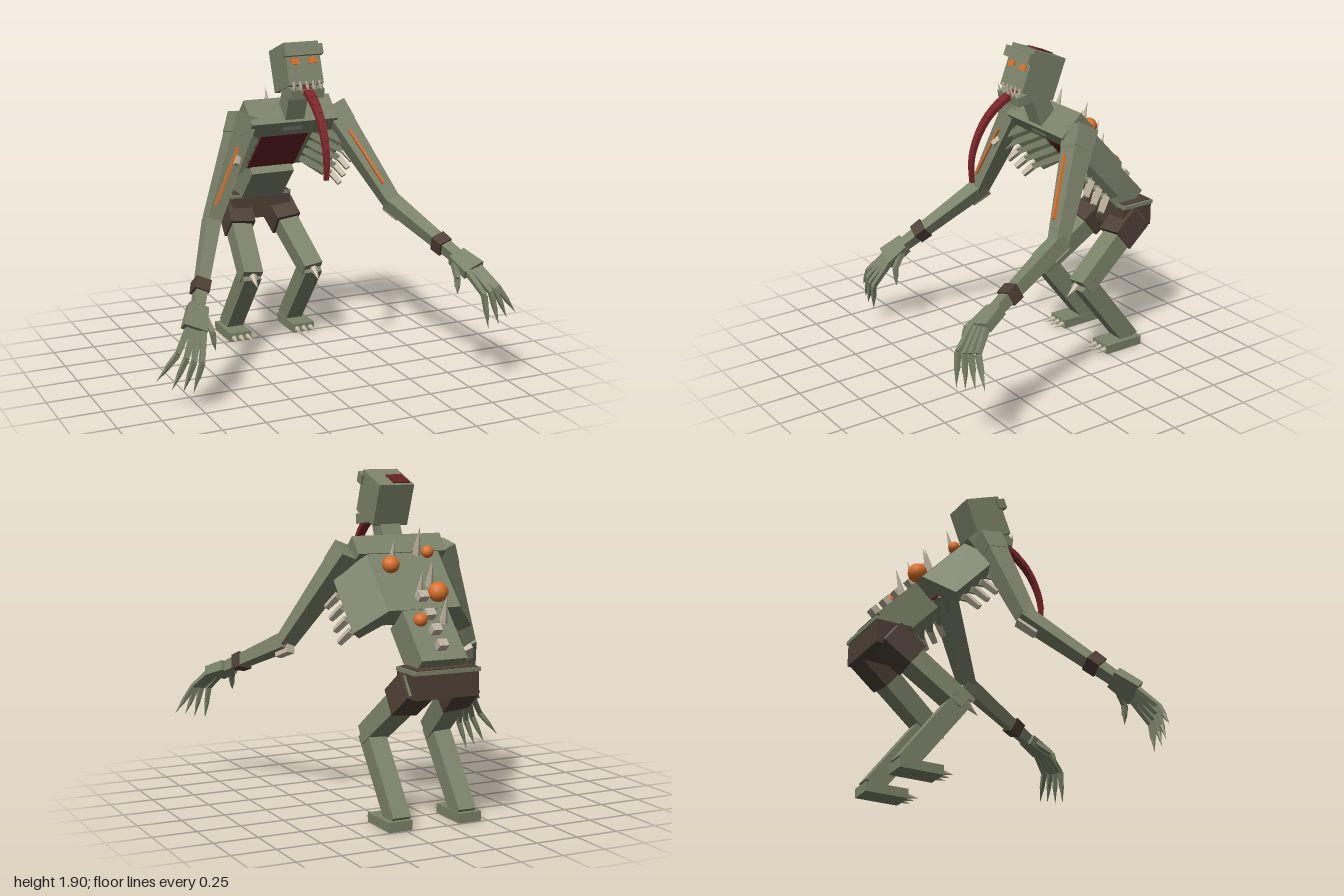
import * as THREE from 'three';

const material = (name, color) => {
  const m = new THREE.MeshStandardMaterial({ color });
  m.name = name;
  return m;
};
const skin = material('grey green skin', 0x7c836a);
const cloth = material('brown cloth', 0x4e4036);
const flesh = material('dark red flesh', 0x642022);
const tongueRed = material('tongue red', 0x7c2529);
const glow = material('orange glow', 0xd8702a);
const bone = material('pale bone', 0xbfb5a0);

const UP = new THREE.Vector3(0, 1, 0);
const V = (p) => new THREE.Vector3(...p);

function add(parent, name, geometry, mat, pos = [0, 0, 0], rotX = 0) {
  const mesh = new THREE.Mesh(geometry, mat);
  mesh.name = name;
  mesh.position.set(...pos);
  mesh.rotation.x = rotX;
  parent.add(mesh);
  return mesh;
}
const box = (parent, name, mat, size, pos, rotX) =>
  add(parent, name, new THREE.BoxGeometry(...size), mat, pos, rotX);

function group(parent, name, pos = [0, 0, 0], rotX = 0) {
  const g = new THREE.Group();
  g.name = name;
  g.position.set(...pos);
  g.rotation.x = rotX;
  parent.add(g);
  return g;
}

// Tapered box from the upper point a to the lower point b; widths are [x, z]
function limb(parent, name, mat, a, b, wa, wb) {
  const dir = V(a).sub(V(b));
  const g = new THREE.BoxGeometry(1, dir.length(), 1);
  const p = g.attributes.position;
  for (let i = 0; i < p.count; i++) {
    const w = p.getY(i) > 0 ? wa : wb;
    p.setX(i, p.getX(i) * w[0]);
    p.setZ(i, p.getZ(i) * w[1]);
  }
  g.computeVertexNormals();
  const mesh = add(parent, name, g, mat, V(a).add(V(b)).multiplyScalar(0.5).toArray());
  mesh.quaternion.setFromUnitVectors(UP, dir.normalize());
  return mesh;
}

// Faceted cone from base to tip
function spike(parent, name, mat, base, tip, r, sides = 6) {
  const dir = V(tip).sub(V(base));
  const g = new THREE.ConeGeometry(r, dir.length(), sides).toNonIndexed();
  g.computeVertexNormals();
  const mesh = add(parent, name, g, mat, V(base).add(V(tip)).multiplyScalar(0.5).toArray());
  mesh.quaternion.setFromUnitVectors(UP, dir.normalize());
  return mesh;
}

function buildHead(body) {
  const head = group(body, 'head', [0, 1.752, -0.13], -0.36);
  box(head, 'skull', skin, [0.212, 0.245, 0.225], [0, 0, 0]);
  box(head, 'brow', skin, [0.235, 0.06, 0.055], [0, 0.07, 0.115]);
  box(head, 'headWound', flesh, [0.1, 0.008, 0.11], [-0.04, 0.125, -0.035]);
  box(head, 'headSore', glow, [0.02, 0.008, 0.02], [0.068, 0.104, 0.1]);
  for (const s of [-1, 1]) box(head, 'eye', glow, [0.05, 0.034, 0.02], [s * 0.055, 0.012, 0.112]);
  const jaw = group(body, 'jaw', [0, 1.635, -0.045], 0.14);
  box(jaw, 'jawBone', skin, [0.2, 0.055, 0.165], [0, 0, 0]);
  for (let i = -2; i <= 2; i++) {
    spike(head, 'upperTooth', bone, [i * 0.04, -0.105, 0.108], [i * 0.04, -0.165, 0.113], 0.01, 5);
    spike(jaw, 'lowerTooth', bone, [i * 0.042, 0.02, 0.075], [i * 0.042, 0.075, 0.085], 0.01, 5);
  }
  limb(body, 'neck', skin, [0, 1.63, -0.13], [0, 1.4, -0.23], [0.12, 0.1], [0.12, 0.12]);
  // Long tongue hanging in an arc
  const path = new THREE.CatmullRomCurve3([
    [0, 1.65, -0.06], [0, 1.645, 0.01], [0, 1.606, 0.095], [0, 1.525, 0.187],
    [0, 1.42, 0.25], [0, 1.308, 0.283], [0, 1.18, 0.28]].map(V));
  const n = 12;
  for (let i = 0; i < n; i++) {
    const w = (t) => [0.062 - 0.036 * t, 0.032 - 0.012 * t];
    limb(body, 'tongue', tongueRed, path.getPointAt(i / n).toArray(),
      path.getPointAt((i + 1) / n).toArray(), w(i / n), w((i + 1) / n));
  }
}

function buildTorso(body) {
  // Local y runs up the spine, local z points to the belly
  const torso = group(body, 'torso', [0, 1.18, -0.61], 0.75);
  box(torso, 'chest', skin, [0.434, 0.395, 0.13], [0, 0.1975, 0.065]);
  box(torso, 'openChest', flesh, [0.3, 0.39, 0.008], [0, 0.1975, 0.133]);
  box(torso, 'shoulderGirdle', skin, [0.54, 0.125, 0.18], [0, 0.445, 0.085]);
  box(torso, 'abdomen', skin, [0.272, 0.34, 0.185], [0, -0.16, 0.095]);

  for (const s of [-1, 1]) {
    // Slanted flank
    const pts = [[0.215, 0], [0.363, 0.19], [0.31, 0.24], [0.18, 0.1]];
    const shape = new THREE.Shape(pts.map(([x, d]) => new THREE.Vector2(s * x, -d)));
    const g = new THREE.ExtrudeGeometry(shape, { depth: 0.395, bevelEnabled: false });
    g.rotateX(-Math.PI / 2);
    add(torso, 'flank', g, skin);
    // Ribs with bare ends
    for (let i = 0; i < 5; i++) {
      const y = 0.045 + i * 0.08;
      limb(torso, 'rib', skin, [s * 0.18, y + 0.012, 0.13], [s * 0.345, y + 0.005, 0.26],
        [0.035, 0.035], [0.035, 0.035]);
      limb(torso, 'ribEnd', bone, [s * 0.34, y + 0.006, 0.24], [s * 0.38, y, 0.335],
        [0.036, 0.036], [0.028, 0.028]);
    }
  }
  // Vertebrae, boils and spikes along the back
  for (const y of [-0.25, -0.15, -0.05, 0.07])
    box(torso, 'vertebra', bone, [0.055, 0.045, 0.06], [0, y, -0.015]);
  for (const [x, y, z, r] of [[0.119, 0.284, -0.03, 0.048], [-0.095, 0.081, -0.035, 0.056],
    [0.06, -0.077, -0.012, 0.038], [-0.138, 0.368, -0.018, 0.035]])
    add(torso, 'boil', new THREE.SphereGeometry(r, 14, 10), glow, [x, y, z]);
  for (const [x, y] of [[-0.08, 0.37], [0.1, 0.3], [-0.08, 0.15], [0.01, 0.075], [-0.08, -0.09]])
    spike(torso, 'backSpike', bone, [x, y, 0.01], [x, y + 0.085, -0.13], 0.025);
}

function buildLegs(body) {
  box(body, 'pelvis', cloth, [0.38, 0.135, 0.21], [0, 0.802, -0.755]);
  box(body, 'waistBand', skin, [0.395, 0.022, 0.215], [0, 0.878, -0.76]);
  box(body, 'waistCloth', cloth, [0.365, 0.006, 0.195], [0, 0.891, -0.76]);
  for (const s of [-1, 1]) {
    const leg = group(body, s > 0 ? 'leftLeg' : 'rightLeg');
    const hip = [s * 0.135, 0.8, -0.78], knee = [s * 0.2, 0.46, -0.34];
    limb(leg, 'thigh', skin, hip, knee, [0.13, 0.125], [0.12, 0.11]);
    limb(leg, 'trouserLeg', cloth, [s * 0.135, 0.8, -0.77], [s * 0.155, 0.685, -0.622],
      [0.16, 0.16], [0.155, 0.155]);
    limb(leg, 'shin', skin, [s * 0.2, 0.485, -0.355], [s * 0.2, 0.05, -0.69],
      [0.108, 0.115], [0.105, 0.11]);
    spike(leg, 'kneeSpike', bone, [s * 0.2, 0.475, -0.315], [s * 0.2, 0.42, -0.24], 0.025);
    box(leg, 'foot', skin, [0.14, 0.055, 0.255], [s * 0.212, 0.038, -0.613]);
    for (let i = -1; i <= 1; i++)
      spike(leg, 'toeClaw', bone, [s * 0.212 + i * 0.045, 0.035, -0.49],
        [s * 0.212 + i * 0.05, 0.028, -0.415], 0.018);
  }
}

function buildArm(model, name, { shoulder, elbow, cuff, palm, bases, mids, tips, stripe }) {
  const arm = group(model, name);
  const mix = (a, b, t) => V(a).lerp(V(b), t).toArray();
  limb(arm, 'upperArm', skin, shoulder, elbow, [0.13, 0.13], [0.085, 0.085]);
  limb(arm, 'shoulder', skin, mix(shoulder, elbow, -0.09), mix(shoulder, elbow, 0.12),
    [0.14, 0.14], [0.13, 0.13]);
  limb(arm, 'forearm', skin, mix(elbow, cuff, -0.06), mix(elbow, palm, 0.9), [0.09, 0.09], [0.062, 0.062]);
  limb(arm, 'wristWrap', cloth, mix(cuff, elbow, 0.08), mix(cuff, palm, 0.2), [0.09, 0.09], [0.086, 0.086]);
  const off = (p) => [p[0], p[1] - 0.045, p[2] - 0.015];
  limb(arm, 'elbowBone', bone, off(mix(elbow, cuff, -0.1)), off(mix(elbow, cuff, 0.18)),
    [0.05, 0.05], [0.045, 0.045]);
  limb(arm, 'armVein', glow, stripe[0], stripe[1], [0.014, 0.02], [0.014, 0.02]);
  limb(arm, 'palm', skin, mix(palm, cuff, 0.35), mix(palm, cuff, -0.4), [0.11, 0.06], [0.14, 0.055]);
  tips.forEach((tip, i) => {
    const part = i === 4 ? 'thumb' : 'finger';
    limb(arm, part, skin, bases[i], mids[i], [0.032, 0.032], [0.026, 0.026]);
    const near = mix(mids[i], tip, 0.5);
    limb(arm, part + 'Joint', skin, mids[i], near, [0.028, 0.028], [0.022, 0.022]);
    spike(arm, part + 'Claw', skin, near, tip, 0.015, 5);
  });
}

export function createModel() {
  const model = new THREE.Group();
  model.name = 'creature';
  const body = group(model, 'body', [0.068, 0, 0]);
  buildHead(body);
  buildTorso(body);
  buildLegs(body);
  buildArm(model, 'rightArm', {
    shoulder: [-0.235, 1.43, -0.23], elbow: [-0.465, 0.9, -0.12],
    cuff: [-0.652, 0.625, 0.185], palm: [-0.73, 0.5, 0.32],
    bases: [[-0.79, 0.46, 0.36], [-0.765, 0.45, 0.375], [-0.74, 0.44, 0.38], [-0.71, 0.44, 0.38], [-0.68, 0.5, 0.31]],
    mids: [[-0.88, 0.345, 0.43], [-0.84, 0.32, 0.455], [-0.8, 0.3, 0.465], [-0.755, 0.29, 0.47], [-0.655, 0.42, 0.37]],
    tips: [[-0.998, 0.2, 0.41], [-0.92, 0.15, 0.44], [-0.86, 0.135, 0.455], [-0.8, 0.115, 0.45], [-0.64, 0.31, 0.375]],
    stripe: [[-0.29, 1.315, -0.145], [-0.45, 1.0, -0.09]],
  });
  buildArm(model, 'leftArm', {
    shoulder: [0.371, 1.43, -0.23], elbow: [0.595, 0.945, 0.07],
    cuff: [0.706, 0.785, 0.46], palm: [0.76, 0.715, 0.635],
    bases: [[0.82, 0.7, 0.685], [0.795, 0.69, 0.7], [0.77, 0.69, 0.71], [0.735, 0.69, 0.71], [0.705, 0.71, 0.62]],
    mids: [[0.89, 0.6, 0.785], [0.86, 0.595, 0.81], [0.825, 0.585, 0.825], [0.775, 0.58, 0.835], [0.675, 0.65, 0.71]],
    tips: [[0.998, 0.44, 0.815], [0.93, 0.425, 0.83], [0.865, 0.4, 0.85], [0.795, 0.385, 0.86], [0.66, 0.57, 0.74]],
    stripe: [[0.4, 1.36, -0.115], [0.54, 1.065, 0.06]],
  });
  return model;
}
